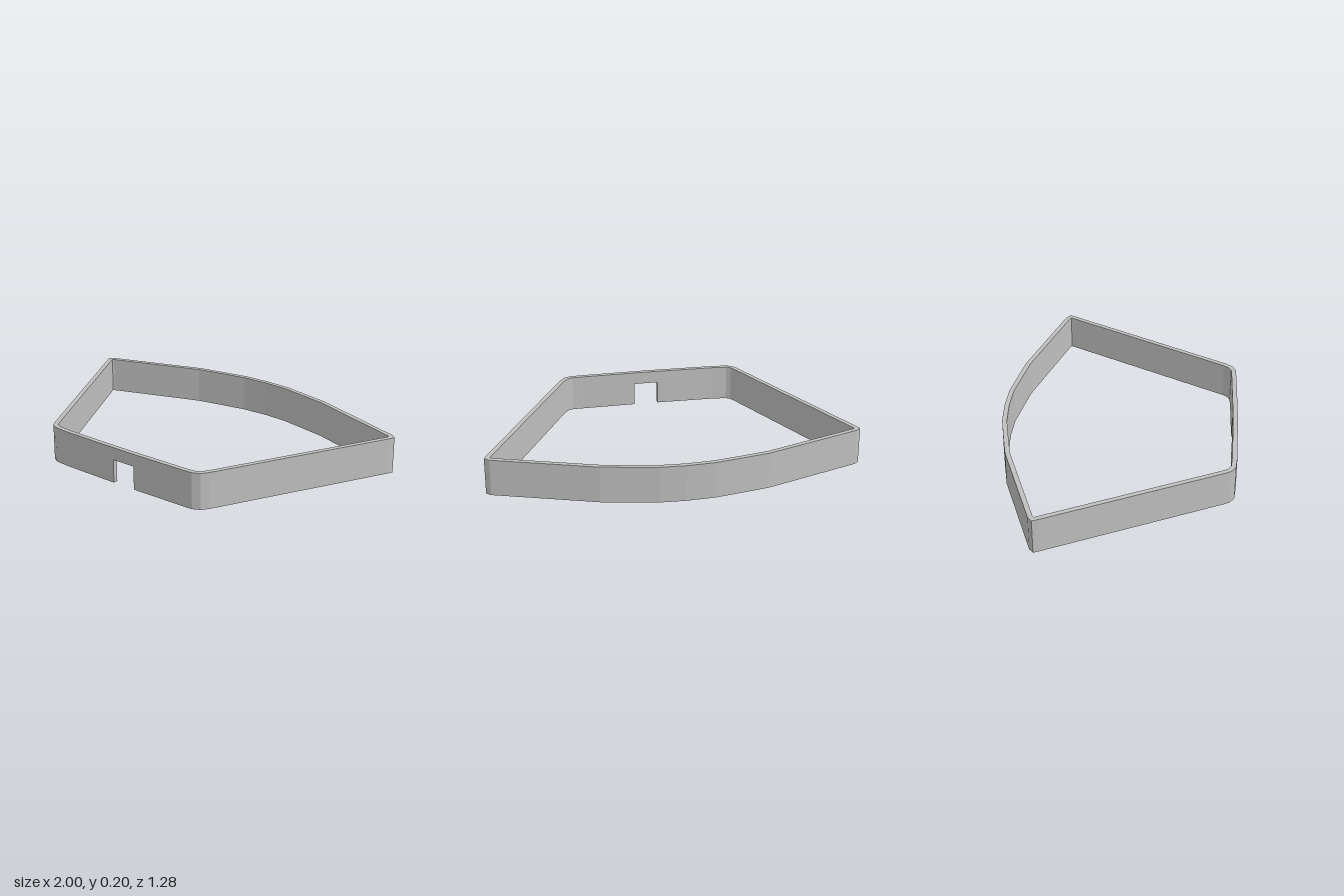
import * as THREE from 'three';

const HEIGHT = 0.2, WALL = 0.026, NOTCH_TOP = 0.13;

// Outer outline as [x, z], from the notch's left edge round the back to its right edge
const OUTLINE = [
  [0.06, 0.637], [0.36, 0.633], [0.435, 0.63], [0.475, 0.612], [0.503, 0.575],
  [0.99, -0.345], [1, -0.37], [0.975, -0.392],
  [0.435, -0.573], [0.28, -0.604], [0.14, -0.631], [0, -0.638], [-0.15, -0.631], [-0.3, -0.604], [-0.45, -0.575],
  [-0.975, -0.392], [-1, -0.37], [-0.99, -0.345],
  [-0.553, 0.57], [-0.535, 0.602], [-0.5, 0.624], [-0.41, 0.632], [-0.077, 0.637],
];

// Inset a closed counter-clockwise outline by a constant wall thickness
function inset(points, d) {
  const n = points.length;
  const normal = (a, b) => new THREE.Vector2(a.y - b.y, b.x - a.x).normalize();
  return points.map((p, i) => {
    const n1 = normal(points[(i + n - 1) % n], p);
    const n2 = normal(p, points[(i + 1) % n]);
    return n1.clone().add(n2).multiplyScalar(d / (1 + n1.dot(n2))).add(p);
  });
}

// Extrude a plan outline upwards between two heights
function slab(points, y0, y1) {
  const geo = new THREE.ExtrudeGeometry(new THREE.Shape(points), { depth: y1 - y0, bevelEnabled: false });
  return geo.rotateX(-Math.PI / 2).translate(0, y0, 0);
}

export function createModel() {
  const group = new THREE.Group();
  group.name = 'frame';
  const grey = new THREE.MeshStandardMaterial({ color: 0xbfbfbf });
  grey.name = 'light grey';

  const outer = OUTLINE.map(([x, z]) => new THREE.Vector2(x, -z));
  const inner = inset(outer, WALL);
  const last = outer.length - 1;
  inner[0].x = outer[0].x;
  inner[last].x = outer[last].x;

  // Thin wall all the way round, open at the notch
  const wall = new THREE.Mesh(slab([...outer, ...inner.slice().reverse()], 0, HEIGHT), grey);
  wall.name = 'wall';

  // Short bridge closing the wall above the notch
  const bridge = new THREE.Mesh(slab([outer[last], outer[0], inner[0], inner[last]], NOTCH_TOP, HEIGHT), grey);
  bridge.name = 'notchBridge';

  group.add(wall, bridge);
  return group;
}
